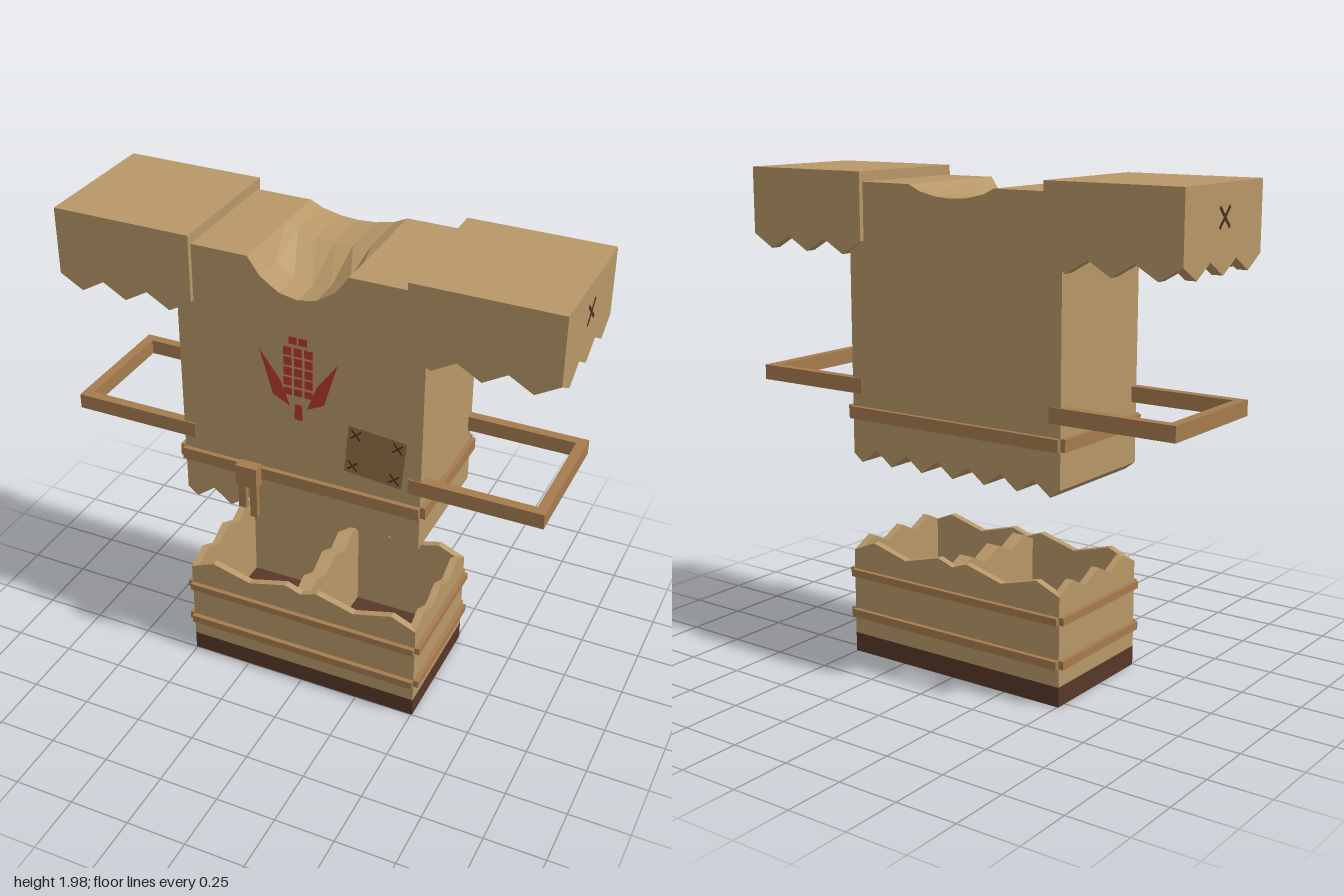
import * as THREE from 'three';

const mat = (color, extra = {}) => new THREE.MeshStandardMaterial({ color, flatShading: true, ...extra });
const CLOTH = mat(0xb89868), ROPE = mat(0xa67c4e), PATCH = mat(0x917143);
const DARK = mat(0x573828), STITCH = mat(0x4a3020), RED = mat(0xb23a2e);
const ZC = -0.0225; // middle of the garment in depth

function add(parent, name, geo, material, x = 0, y = 0, z = 0) {
  const m = new THREE.Mesh(geo, material);
  m.name = name;
  m.position.set(x, y, z);
  parent.add(m);
  return m;
}

// box given by its min and max on each axis
function box(parent, name, material, [x0, x1], [y0, y1], [z0, z1]) {
  return add(parent, name, new THREE.BoxGeometry(x1 - x0, y1 - y0, z1 - z0), material,
    (x0 + x1) / 2, (y0 + y1) / 2, (z0 + z1) / 2);
}

function group(parent, name) {
  const g = new THREE.Group();
  g.name = name;
  parent.add(g);
  return g;
}

const shapeOf = pts => new THREE.Shape(pts.map(p => new THREE.Vector2(...p)));
const slab = (pts, depth) => new THREE.ExtrudeGeometry(shapeOf(pts), { depth, bevelEnabled: false });

// zigzag edge from -w/2 to w/2 that starts and ends at yEnd
function teeth(w, n, yEnd, yTip) {
  return Array.from({ length: 2 * n + 1 }, (_, i) => [-w / 2 + (w * i) / (2 * n), i % 2 ? yTip : yEnd]);
}

// wall between a jagged edge and a straight edge, centred in thickness
function jagged(edge, yFlat, t) {
  const a = edge[0][0], b = edge[edge.length - 1][0];
  const pts = [...edge, [b, yFlat], [a, yFlat]];
  if (THREE.ShapeUtils.area(pts.map(p => new THREE.Vector2(...p))) < 0) pts.reverse();
  return slab(pts, t).translate(0, 0, -t / 2);
}

// four boards around a box, leaving notched corners
function band(parent, name, hx, hz, t, y) {
  const g = group(parent, name);
  for (const s of [-1, 1]) {
    add(g, 'bandLong', new THREE.BoxGeometry(hx * 2, y[1] - y[0], t), ROPE, 0, (y[0] + y[1]) / 2, ZC + s * (hz + t / 2));
    add(g, 'bandSide', new THREE.BoxGeometry(t, y[1] - y[0], hz * 2), ROPE, s * (hx + t / 2), (y[0] + y[1]) / 2, ZC);
  }
}

// crossed stitch lying in the xy plane
function cross(parent, size, x, y, z) {
  const g = group(parent, 'crossStitch');
  g.position.set(x, y, z);
  for (const s of [-1, 1]) {
    add(g, 'thread', new THREE.BoxGeometry(size * 1.41, size * 0.16, 0.004), STITCH).rotation.z = s * Math.PI / 4;
  }
  return g;
}

function torsoGeometry() {
  const neck = [[0.2, 1.94], [0.15, 1.87], [0.075, 1.82], [0, 1.805], [-0.075, 1.82], [-0.15, 1.87], [-0.2, 1.94]];
  const hem = Array.from({ length: 13 }, (_, i) => [-0.457 + i * 0.0762, i % 2 ? 0.875 : 0.817]);
  const pts = [[-0.5, 0.85], ...hem, [0.5, 0.85], [0.5, 1.94], ...neck, [-0.5, 1.94]];
  const geo = new THREE.ExtrudeGeometry(shapeOf(pts), { depth: 3, steps: 3, bevelEnabled: false });
  // deep neckline in front, sloping up to a shallow one at the back
  const layers = [-0.289, -0.07, 0.115, 0.244], p = geo.attributes.position;
  for (let i = 0; i < p.count; i++) {
    const k = Math.round(p.getZ(i)), y = p.getY(i);
    if (k < 2 && y > 1.7) p.setY(i, 1.94 - (1.94 - y) * 0.34);
    p.setZ(i, layers[k]);
  }
  geo.computeVertexNormals();
  return geo;
}

function addSleeve(root, s) {
  const g = group(root, s > 0 ? 'leftSleeve' : 'rightSleeve');
  const t = 0.045, hz = 0.286;
  box(g, 'sleeveTop', CLOTH, [s * 0.715 - 0.285, s * 0.715 + 0.285], [1.935, 1.98], [ZC - hz, ZC + hz]);
  for (const k of [-1, 1]) {
    add(g, 'sleeveWall', jagged(teeth(0.57, 3, 1.71, 1.655), 1.96, t), CLOTH, s * 0.715, 0, ZC + k * (hz - t / 2));
  }
  add(g, 'sleeveEnd', jagged(teeth(hz * 2, 3, 1.71, 1.655), 1.96, t).rotateY(Math.PI / 2), CLOTH,
    s * (1 - t / 2), 0, ZC);
  cross(g, 0.075, s * 1.0, 1.86, ZC).rotation.y = Math.PI / 2;
}

function addArmStrap(root, s) {
  const g = group(root, s > 0 ? 'leftArmStrap' : 'rightArmStrap');
  const t = 0.04, hz = 0.2715, h = 0.062, y = 1.13;
  for (const k of [-1, 1]) {
    add(g, 'strapArm', new THREE.BoxGeometry(0.53, h, t), ROPE, s * 0.715, y, ZC + k * (hz - t / 2));
  }
  add(g, 'strapEnd', new THREE.BoxGeometry(t, h, hz * 2), ROPE, s * (0.98 - t / 2), y, ZC);
}

function addCorn(root) {
  const g = group(root, 'cornMotif');
  g.position.z = 0.244;
  const kernel = (x, y, h = 0.035) => add(g, 'kernel', new THREE.BoxGeometry(0.033, h, 0.006), RED, x, y, 0);
  for (const x of [-0.021, 0.021]) kernel(x, 1.637, 0.03);
  for (let r = 0; r < 5; r++) for (const x of [-0.043, 0, 0.043]) kernel(x, 1.59 - r * 0.043, r === 4 ? 0.03 : 0.035);
  const leaf = [[0.16, 1.575], [0.105, 1.39], [0.035, 1.355], [0.075, 1.46]];
  add(g, 'leftLeaf', slab(leaf.slice().reverse(), 0.003), RED);
  add(g, 'rightLeaf', slab(leaf.map(([x, y]) => [-x, y]), 0.003), RED);
  add(g, 'stem', slab([[-0.017, 1.3], [0.017, 1.3], [0.014, 1.367], [-0.014, 1.367]], 0.003), RED);
}

function addBase(root) {
  const g = group(root, 'legWraps');
  const hx = 0.505, hz = 0.2715, t = 0.03;
  box(g, 'sole', DARK, [-hx, hx], [0, 0.08], [ZC - hz, ZC + hz]);
  const half = [[0.07, 0.485], [0.235, 0.44], [0.4, 0.485], [hx, 0.44]];
  const edge = [...half.map(([x, y]) => [-x, y]).reverse(), [0, 0.46], ...half];
  for (const k of [-1, 1]) {
    add(g, 'longWall', jagged(edge, 0.08, t), CLOTH, 0, 0, ZC + k * (hz - t / 2));
  }
  // outer sides, plus the doubled wall between the two legs
  for (const x of [-hx + t / 2, -t / 2, t / 2, hx - t / 2]) {
    add(g, 'sideWall', jagged(teeth(hz * 2, 3, 0.44, 0.485), 0.08, t).rotateY(Math.PI / 2), CLOTH, x, 0, ZC);
  }
  band(g, 'lowerBand', hx, hz, 0.02, [0.155, 0.188]);
  band(g, 'upperBand', hx, hz, 0.02, [0.33, 0.36]);
}

export function createModel() {
  const root = new THREE.Group();
  root.name = 'sackCostume';

  add(root, 'torso', torsoGeometry(), CLOTH);
  for (const s of [-1, 1]) {
    addSleeve(root, s);
    addArmStrap(root, s);
  }

  // rope belt with its knot and hanging ends
  band(root, 'belt', 0.502, 0.268, 0.02, [0.997, 1.047]);
  box(root, 'knot', ROPE, [-0.245, -0.155], [0.975, 1.065], [0.262, 0.31]);
  box(root, 'ropeEndLong', ROPE, [-0.19, -0.16], [0.832, 0.98], [0.278, 0.3]);
  box(root, 'ropeEndShort', ROPE, [-0.24, -0.208], [0.865, 0.98], [0.278, 0.3]);

  addCorn(root);

  // stitched patch
  const patch = group(root, 'patch');
  patch.position.set(0.315, 1.22, 0.244);
  patch.rotation.z = -0.085;
  add(patch, 'patchCloth', new THREE.BoxGeometry(0.235, 0.208, 0.006), PATCH);
  for (const x of [-0.085, 0.085]) for (const y of [-0.07, 0.07]) cross(patch, 0.04, x, y, 0.003);

  addBase(root);
  return root;
}
